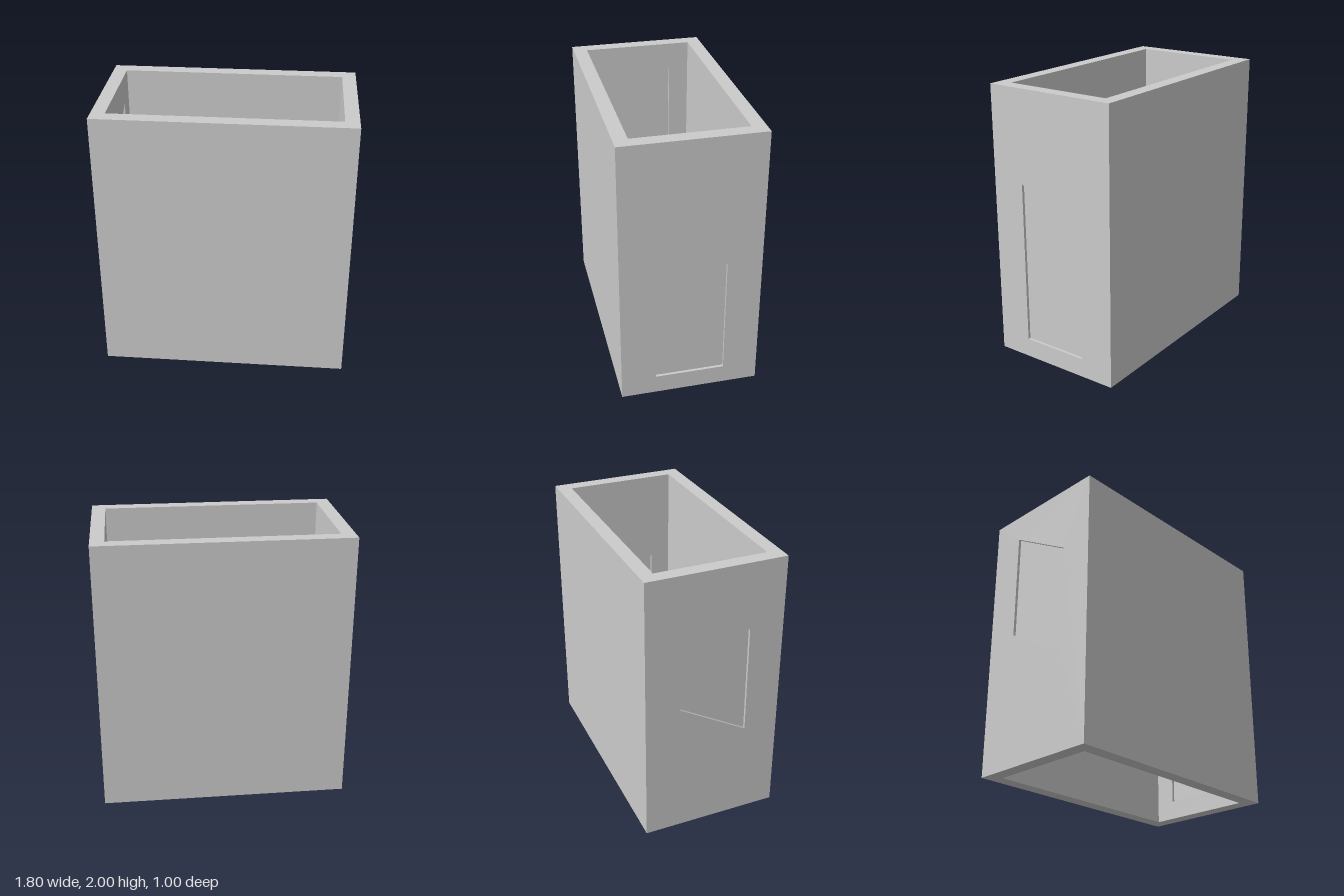
import * as THREE from 'three';

const W = 1.8, H = 2, D = 1, T = 0.1; // overall size and wall thickness
const RECESS = 0.02;                  // depth of the panel recess on each wall face
const material = new THREE.MeshStandardMaterial({ color: 0xcccccc });

// Corners are [z, y]; the solid is extruded along x and centred on centreX.
function slabAlongX(points, thickness, centreX, hole) {
  const toVectors = (list) => list.map(([z, y]) => new THREE.Vector2(z, y));
  const shape = new THREE.Shape(toVectors(points));
  if (hole) shape.holes.push(new THREE.Path(toVectors(hole)));
  const geometry = new THREE.ExtrudeGeometry(shape, { depth: thickness, bevelEnabled: false });
  geometry.rotateY(-Math.PI / 2);
  geometry.translate(centreX + thickness / 2, 0, 0);
  return geometry;
}

function addMesh(parent, name, geometry) {
  const mesh = new THREE.Mesh(geometry, material);
  mesh.name = name;
  parent.add(mesh);
}

export function createModel() {
  const model = new THREE.Group();
  model.name = 'openShaft';

  // Plain long walls, fitted between the side walls
  for (const [name, side] of [['frontWall', 1], ['backWall', -1]]) {
    const wall = new THREE.BoxGeometry(W - 2 * T, H, T);
    wall.translate(0, H / 2, side * (D - T) / 2);
    addMesh(model, name, wall);
  }

  // Side walls, each with an opening closed by a thinner panel
  const outline = [[-D / 2, 0], [D / 2, 0], [D / 2, H], [-D / 2, H]];
  const sides = [
    // Sloped top over a level sill
    { name: 'left', sign: 1, opening: [[-0.25, 0.14], [0.25, 0.14], [0.25, 1.33], [-0.25, 1.04]] },
    // Top and bottom both sloped
    { name: 'right', sign: -1, opening: [[-0.25, 1.0], [0.25, 0.71], [0.25, 1.51], [-0.25, 1.8]] },
  ];
  for (const { name, sign, opening } of sides) {
    const x = sign * (W - T) / 2;
    addMesh(model, name + 'Wall', slabAlongX(outline, T, x, opening));
    addMesh(model, name + 'Panel', slabAlongX(opening, T - 2 * RECESS, x));
  }
  return model;
}
